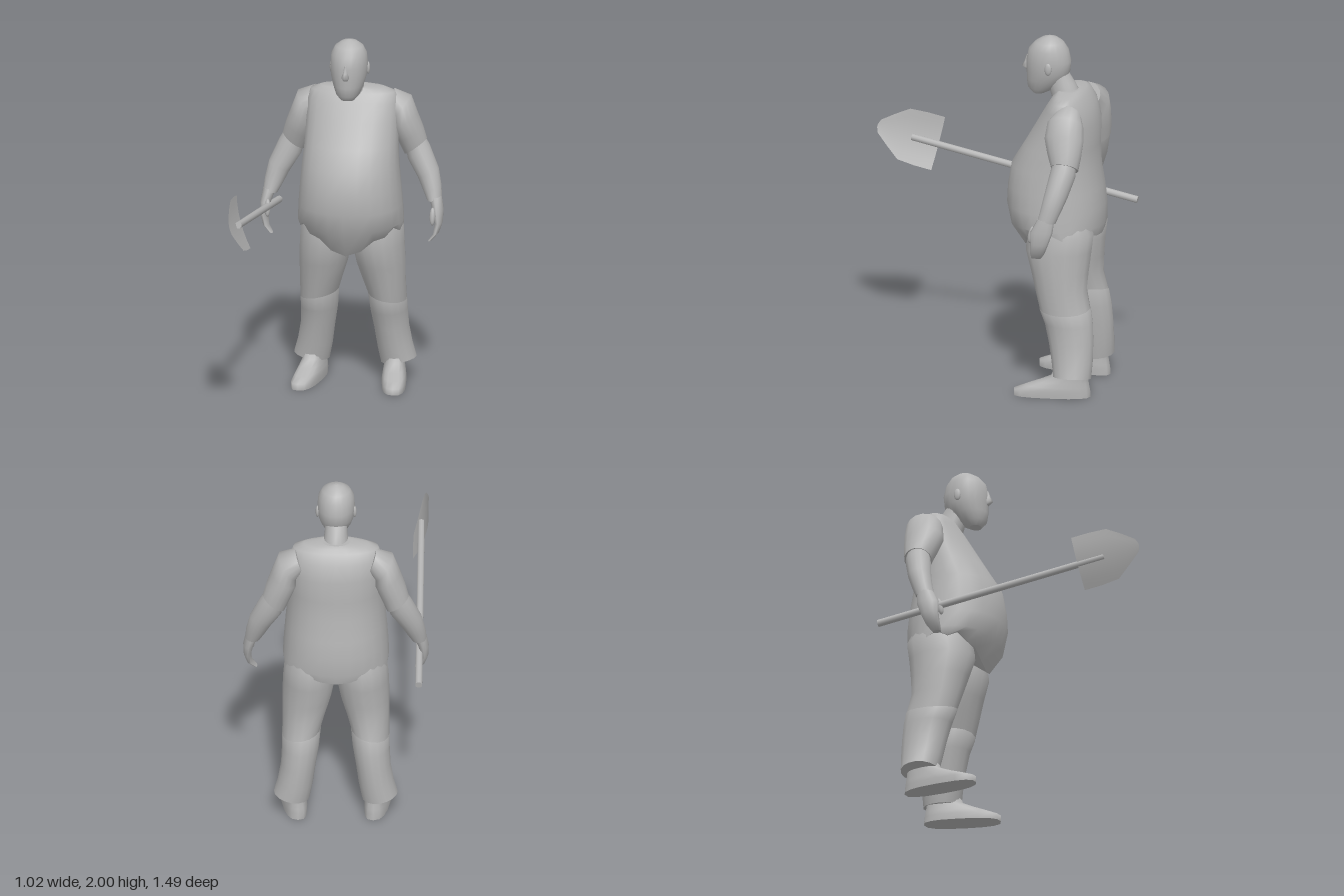
import * as THREE from 'three';

const grey = new THREE.MeshStandardMaterial({ color: 0xb4b4b4 });
grey.name = 'plain grey';
const greySheet = new THREE.MeshStandardMaterial({ color: 0xb4b4b4, side: THREE.DoubleSide });
greySheet.name = 'plain grey sheet';

// Closed body through rings listed from bottom to top.
// ring: [x, y, zFront, zBack, halfWidth, tilt]; side mirrors x; drop(ringIndex, angle, j) lowers points.
function loft(rings, { side = 1, segs = 16, power = 1, drop = () => 0 } = {}) {
  const pos = [], idx = [];
  const point = (i, j) => {
    const [x, y, zf, zb, r, tilt = 0] = rings[i];
    const a = (j / segs) * Math.PI * 2;
    const bend = (v) => Math.sign(v) * Math.abs(v) ** power;
    const c = bend(Math.cos(a)) * r, s = bend(Math.sin(a));
    pos.push(side * x + c * Math.cos(tilt), y + c * side * Math.sin(tilt) - drop(i, a, j),
      (zf + zb) / 2 + (s * (zf - zb)) / 2);
  };
  rings.forEach((_, i) => { for (let j = 0; j < segs; j++) point(i, j); });
  for (let i = 0; i < rings.length - 1; i++) {
    for (let j = 0; j < segs; j++) {
      const a = i * segs + j, b = i * segs + ((j + 1) % segs);
      idx.push(a, a + segs, b, b, a + segs, b + segs);
    }
  }
  // End caps with their own vertices so the rims stay crisp
  for (const i of [0, rings.length - 1]) {
    const start = pos.length / 3;
    for (let j = 0; j < segs; j++) point(i, j);
    const [x, y, zf, zb] = rings[i];
    pos.push(side * x, y, (zf + zb) / 2);
    for (let j = 0; j < segs; j++) {
      const a = start + j, b = start + ((j + 1) % segs);
      idx.push(start + segs, ...(i ? [b, a] : [a, b]));
    }
  }
  const g = new THREE.BufferGeometry();
  g.setAttribute('position', new THREE.Float32BufferAttribute(pos, 3));
  g.setIndex(idx);
  g.computeVertexNormals();
  return g;
}

function add(parent, name, geometry, material = grey) {
  const mesh = new THREE.Mesh(geometry, material);
  mesh.name = name;
  parent.add(mesh);
  return mesh;
}

function ball(parent, name, at, size) {
  const m = add(parent, name, new THREE.SphereGeometry(1, 10, 8));
  m.position.set(...at);
  m.scale.set(...size);
  return m;
}

function buildTorso(g) {
  // Ragged hem, lowest at the crotch in front and dipping behind
  const drop = (i, a, j) => {
    const s = Math.sin(a);
    const dip = s > 0 ? 0.15 * s ** 6 : 0.05 * s ** 6;
    if (i === 0) return dip + (Math.abs(s) < 0.9 && j % 2 ? 0.03 : 0);
    return i === 1 ? dip * 0.25 : 0;
  };
  add(g, 'torso', loft([
    [0, 0.935, -0.245, -0.665, 0.287],
    [0, 0.955, -0.165, -0.68, 0.292],
    [0, 1.05, -0.138, -0.682, 0.287],
    [0, 1.155, -0.143, -0.67, 0.279],
    [0, 1.28, -0.165, -0.65, 0.268],
    [0, 1.395, -0.235, -0.645, 0.26],
    [0, 1.525, -0.31, -0.645, 0.258],
    [0, 1.62, -0.365, -0.618, 0.255],
    [0, 1.675, -0.4, -0.58, 0.235],
    [0, 1.695, -0.42, -0.56, 0.18],
    [0, 1.705, -0.42, -0.54, 0.08],
  ], { segs: 24, power: 0.92, drop }));
}

function buildHead(g) {
  add(g, 'neck', loft([
    [0, 1.6, -0.4, -0.56, 0.08],
    [0, 1.675, -0.375, -0.545, 0.072],
    [0, 1.74, -0.355, -0.51, 0.062],
    [0, 1.8, -0.35, -0.47, 0.06],
  ]));
  add(g, 'head', loft([
    [0, 1.67, -0.275, -0.34, 0.038],
    [0, 1.7, -0.245, -0.4, 0.064],
    [0, 1.75, -0.238, -0.45, 0.084],
    [0, 1.8, -0.238, -0.482, 0.098],
    [0, 1.86, -0.236, -0.488, 0.104],
    [0, 1.925, -0.25, -0.472, 0.098],
    [0, 1.965, -0.285, -0.445, 0.077],
    [0, 1.99, -0.325, -0.41, 0.042],
    [0, 2.0, -0.36, -0.375, 0.008],
  ], { segs: 20 }));
  add(g, 'nose', loft([
    [0, 1.795, -0.235, -0.27, 0.016],
    [0, 1.815, -0.209, -0.27, 0.022],
    [0, 1.84, -0.222, -0.27, 0.015],
    [0, 1.88, -0.235, -0.27, 0.008],
  ], { segs: 8 }));
  for (const s of [1, -1]) ball(g, 'ear', [s * 0.102, 1.835, -0.385], [0.011, 0.035, 0.02]);
}

function buildArm(g, side) {
  add(g, 'sleeve', loft([
    [0.34, 1.35, -0.468, -0.622, 0.076, 0.64],
    [0.315, 1.42, -0.44, -0.632, 0.079, 0.55],
    [0.283, 1.5, -0.415, -0.638, 0.08, 0.5],
    [0.265, 1.57, -0.425, -0.632, 0.086, 0.95],
    [0.2, 1.61, -0.46, -0.6, 0.07, 1.25],
  ], { side }));
  add(g, 'forearm', loft([
    [0.458, 1.07, -0.42, -0.525, 0.041, 0.1],
    [0.442, 1.13, -0.435, -0.55, 0.053, 0.3],
    [0.415, 1.21, -0.45, -0.58, 0.064, 0.45],
    [0.357, 1.32, -0.468, -0.61, 0.073, 0.6],
    [0.33, 1.39, -0.48, -0.61, 0.06, 0.64],
  ], { side }));
  add(g, 'hand', loft([
    [0.444, 0.853, -0.385, -0.435, 0.012, 0.3],
    [0.474, 0.89, -0.385, -0.465, 0.017, 0.3],
    [0.487, 0.95, -0.39, -0.49, 0.021],
    [0.48, 1.02, -0.39, -0.515, 0.03],
    [0.462, 1.09, -0.425, -0.52, 0.036],
  ], { side, segs: 12 }));
  const thumb = ball(g, 'thumb', [side * 0.46, 0.995, -0.388], [0.016, 0.05, 0.018]);
  thumb.rotation.x = -0.2;
}

function buildLeg(g, side) {
  add(g, 'thigh', loft([
    [0.19, 0.49, -0.365, -0.65, 0.107, -0.19],
    [0.174, 0.6, -0.335, -0.625, 0.121, -0.1],
    [0.16, 0.7, -0.308, -0.632, 0.135],
    [0.146, 0.82, -0.272, -0.645, 0.145],
    [0.145, 0.92, -0.29, -0.657, 0.138],
    [0.14, 1.0, -0.3, -0.62, 0.11],
  ], { side }));
  add(g, 'lowerLeg', loft([
    [0.242, 0.115, -0.455, -0.668, 0.1, 0.17],
    [0.222, 0.2, -0.44, -0.672, 0.097, 0.1],
    [0.205, 0.31, -0.418, -0.672, 0.096],
    [0.194, 0.41, -0.393, -0.666, 0.102],
    [0.189, 0.495, -0.362, -0.652, 0.109, -0.19],
    [0.189, 0.52, -0.39, -0.63, 0.09, -0.19],
  ], { side }));
  // Shoe, sheared so the toe points slightly outward
  const shoe = loft([
    [0.235, 0, -0.235, -0.657, 0.067],
    [0.235, 0.035, -0.235, -0.655, 0.069],
    [0.235, 0.06, -0.3, -0.65, 0.065],
    [0.235, 0.085, -0.37, -0.645, 0.06],
    [0.235, 0.115, -0.44, -0.64, 0.056],
    [0.235, 0.2, -0.47, -0.64, 0.05],
  ], { side, power: 0.75 });
  const p = shoe.attributes.position;
  for (let i = 0; i < p.count; i++) p.setX(i, p.getX(i) + side * 0.14 * (p.getZ(i) + 0.45));
  shoe.computeVertexNormals();
  add(g, 'shoe', shoe);
}

function buildShovel(g) {
  const tail = new THREE.Vector3(-0.458, 0.935, -0.742), tip = new THREE.Vector3(-0.458, 1.185, 0.545);
  const dir = tip.clone().sub(tail);
  const shaft = add(g, 'shovelShaft', new THREE.CylinderGeometry(0.019, 0.02, dir.length(), 10));
  shaft.position.copy(tail).add(tip).multiplyScalar(0.5);
  shaft.quaternion.setFromUnitVectors(new THREE.Vector3(0, 1, 0), dir.normalize());

  // Dished blade: rows along the shaft of [distance, half width]
  const rows = [[0, 0.145], [0.1, 0.145], [0.2, 0.138], [0.275, 0.088], [0.345, 0.036], [0.357, 0.008]];
  const cols = 6;
  const blade = new THREE.PlaneGeometry(1, 1, cols, rows.length - 1);
  const p = blade.attributes.position;
  rows.forEach(([s, half], i) => {
    for (let j = 0; j <= cols; j++) {
      const t = (j / cols) * 2 - 1, w = t * half;
      p.setXYZ(i * (cols + 1) + j, -0.472 - 0.3 * w + 0.8 * w * w,
        1.16 + s * dir.y + w * dir.z, 0.395 + s * dir.z - w * dir.y);
    }
  });
  blade.computeVertexNormals();
  add(g, 'shovelBlade', blade, greySheet);
}

export function createModel() {
  const model = new THREE.Group();
  model.name = 'stoutManWithShovel';
  const part = (name, build, ...args) => {
    const g = new THREE.Group();
    g.name = name;
    build(g, ...args);
    model.add(g);
  };
  part('body', buildTorso);
  part('headAndNeck', buildHead);
  for (const [label, side] of [['left', 1], ['right', -1]]) {
    part(label + 'Arm', buildArm, side);
    part(label + 'Leg', buildLeg, side);
  }
  part('shovel', buildShovel);
  return model;
}
